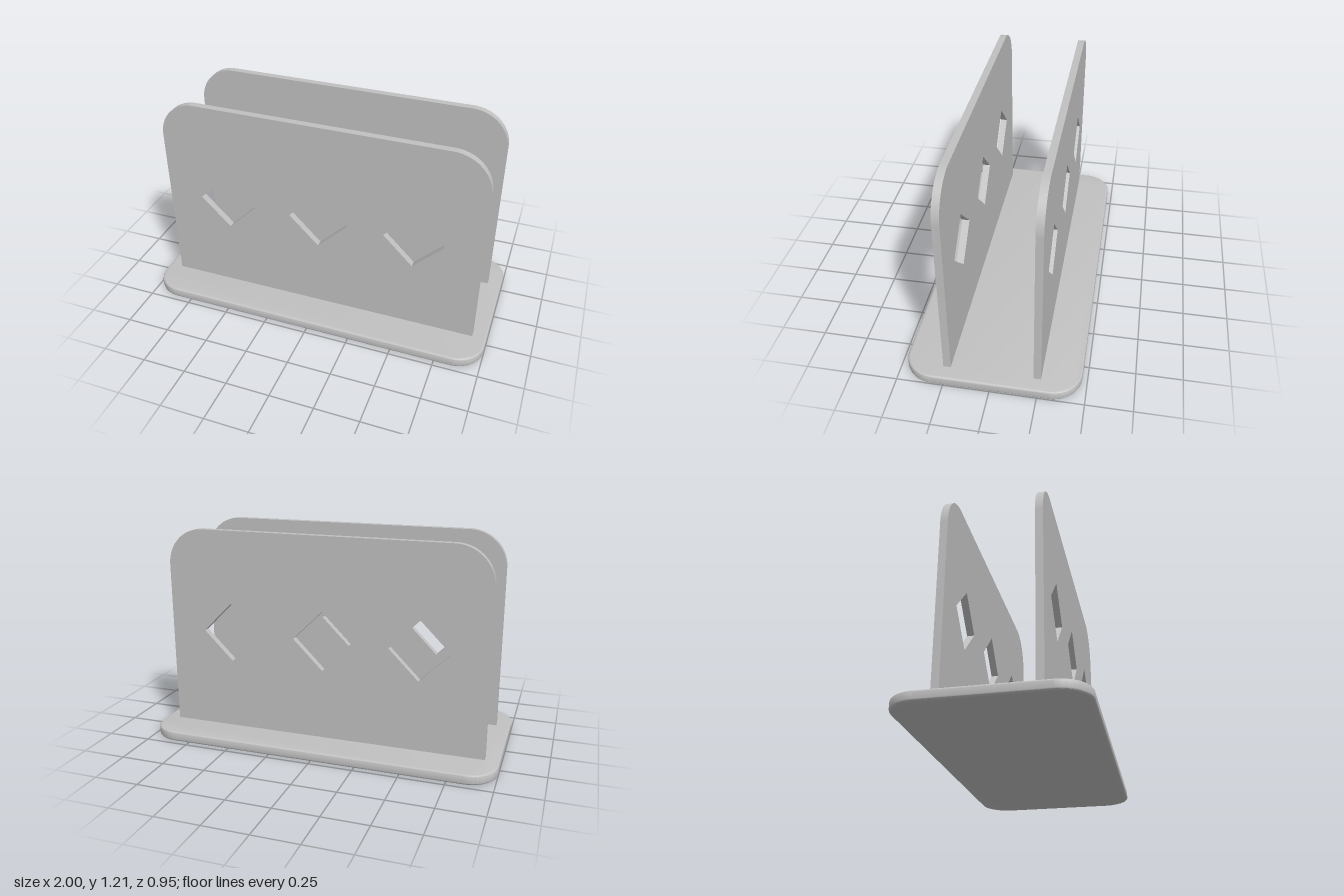
import * as THREE from 'three';
import { toCreasedNormals } from 'three/addons/utils/BufferGeometryUtils.js';

const BASE = { halfX: 1, halfZ: 0.473, height: 0.055, radius: 0.16, bevel: 0.012 };
const PLATE = { halfX: 0.92, top: 1.21, radius: 0.21, thickness: 0.04, z: 0.242 };
const DIAMOND = { half: 0.17, y: 0.625, spacing: 0.547 };

// Rectangle with separate radii for its lower and upper corners
function roundedRect(x0, y0, x1, y1, low, high) {
  const s = new THREE.Shape();
  s.moveTo(x0 + low, y0);
  s.lineTo(x1 - low, y0);
  if (low) s.absarc(x1 - low, y0 + low, low, -Math.PI / 2, 0);
  s.lineTo(x1, y1 - high);
  s.absarc(x1 - high, y1 - high, high, 0, Math.PI / 2);
  s.lineTo(x0 + high, y1);
  s.absarc(x0 + high, y1 - high, high, Math.PI / 2, Math.PI);
  s.lineTo(x0, y0 + low);
  if (low) s.absarc(x0 + low, y0 + low, low, Math.PI, Math.PI * 1.5);
  return s;
}

function diamondHole(x, y, r) {
  return new THREE.Path([[x, y - r], [x - r, y], [x, y + r], [x + r, y]]
    .map(([px, py]) => new THREE.Vector2(px, py)));
}

export function createModel() {
  const model = new THREE.Group();
  model.name = 'napkinHolder';
  const grey = new THREE.MeshStandardMaterial({ color: 0xc0c0c0 });
  grey.name = 'plain grey';

  // Flat base with softened edges
  const { halfX, halfZ, height, radius, bevel } = BASE;
  const baseGeometry = new THREE.ExtrudeGeometry(
    roundedRect(-halfX, -halfZ, halfX, halfZ, radius, radius),
    {
      depth: height - 2 * bevel, curveSegments: 16,
      bevelSize: bevel, bevelThickness: bevel, bevelOffset: -bevel, bevelSegments: 4,
    },
  );
  baseGeometry.rotateX(-Math.PI / 2).translate(0, bevel, 0);
  const base = new THREE.Mesh(toCreasedNormals(baseGeometry, 0.6), grey);
  base.name = 'base';
  model.add(base);

  // Two upright plates, each pierced by three diamonds
  const outline = roundedRect(-PLATE.halfX, height, PLATE.halfX, PLATE.top, 0, PLATE.radius);
  for (const i of [-1, 0, 1]) {
    outline.holes.push(diamondHole(i * DIAMOND.spacing, DIAMOND.y, DIAMOND.half));
  }
  const plateGeometry = toCreasedNormals(new THREE.ExtrudeGeometry(outline, {
    depth: PLATE.thickness, bevelEnabled: false, curveSegments: 16,
  }).translate(0, 0, -PLATE.thickness / 2), 0.6);
  for (const [name, side] of [['frontPlate', 1], ['backPlate', -1]]) {
    const plate = new THREE.Mesh(plateGeometry, grey);
    plate.name = name;
    plate.position.z = side * PLATE.z;
    model.add(plate);
  }
  return model;
}
